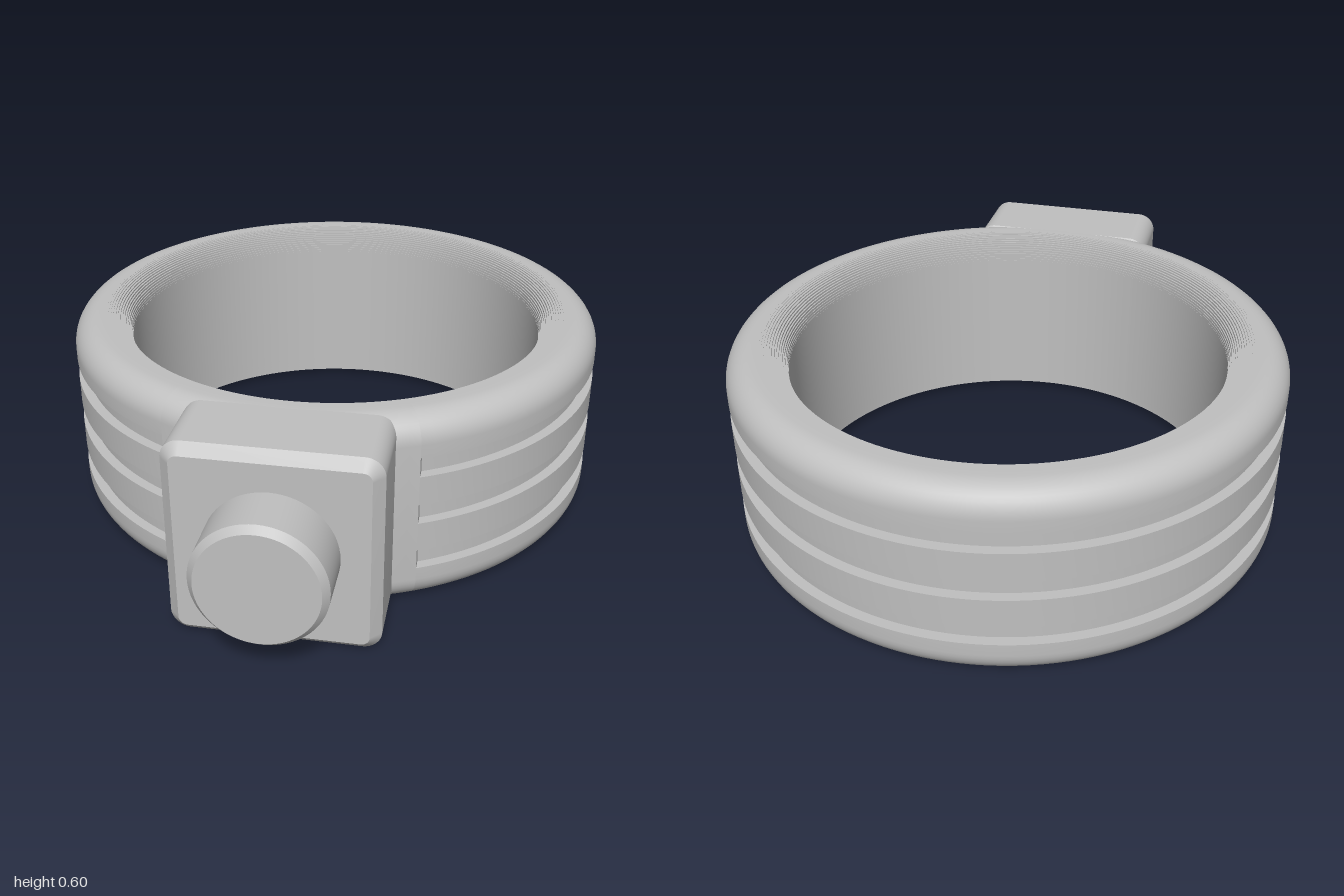
import * as THREE from 'three';
import { toCreasedNormals } from 'three/addons/utils/BufferGeometryUtils.js';

const R_OUT = 0.833, R_IN = 0.653, R_GROOVE = 0.803;
const HALF = 0.2985, FILLET = 0.08, RING_Z = -0.167;
const GROOVE_X = 0.36; // grooves stop on the planes x = +-GROOVE_X

// Smooth shading with sharp edges; scaled up so close vertices stay apart.
function crease(geo) {
  return toCreasedNormals(geo.scale(100, 100, 100), 0.5).scale(0.01, 0.01, 0.01);
}

// Closed ring cross-section: rounded outside, finely stepped rounding inside.
function ringProfile(grooved) {
  const upper = grooved
    ? [[R_GROOVE, 0.03], [R_OUT, 0.03], [R_OUT, 0.12], [R_GROOVE, 0.12], [R_GROOVE, 0.18], [R_OUT, 0.18]]
    : [];
  for (let i = 0; i <= 10; i++) {
    const t = (i / 10) * Math.PI / 2;
    upper.push([R_OUT - FILLET + FILLET * Math.cos(t), HALF - FILLET + FILLET * Math.sin(t)]);
  }
  const steps = 16;
  let y = HALF;
  for (let i = 0; i <= steps; i++) {
    const t = (i / steps) * Math.PI / 2;
    const r = R_IN + FILLET - FILLET * Math.sin(t);
    upper.push([r, y]);
    y = HALF - FILLET + FILLET * Math.cos(Math.min(t + Math.PI / 4 / steps, Math.PI / 2));
    upper.push([r, y]);
  }
  const lower = upper.map(([r, v]) => [r, -v]).reverse();
  const all = [...lower, ...upper, lower[0]];
  return all.map(([r, v]) => new THREE.Vector2(r, v));
}

// Rounded rectangle centred on the origin
function roundedRect(hw, hh, r) {
  const s = new THREE.Shape();
  s.moveTo(-hw + r, -hh);
  s.absarc(hw - r, -hh + r, r, -Math.PI / 2, 0);
  s.absarc(hw - r, hh - r, r, 0, Math.PI / 2);
  s.absarc(-hw + r, hh - r, r, Math.PI / 2, Math.PI);
  s.absarc(-hw + r, -hh + r, r, Math.PI, Math.PI * 1.5);
  return s;
}

export function createModel() {
  const model = new THREE.Group();
  model.name = 'ringWithButton';
  const grey = new THREE.MeshStandardMaterial({ color: 0xc0c0c0 });
  grey.name = 'grey';

  function add(parent, name, geo, x = 0, y = 0, z = 0) {
    const mesh = new THREE.Mesh(geo, grey);
    mesh.name = name;
    mesh.position.set(x, y, z);
    parent.add(mesh);
    return mesh;
  }

  const ring = new THREE.Group();
  ring.name = 'ring';
  ring.position.set(0, HALF, RING_Z);
  model.add(ring);

  // Grooved arc around the sides and back, plain arc behind the housing
  const a = Math.asin(GROOVE_X / R_OUT);
  const grooved = new THREE.LatheGeometry(ringProfile(true), 120, a, Math.PI * 2 - 2 * a);
  const p = grooved.attributes.position;
  const floorZ = Math.sqrt(R_GROOVE ** 2 - GROOVE_X ** 2);
  const edgeZ = Math.sqrt(R_OUT ** 2 - GROOVE_X ** 2);
  for (let i = 0; i < p.count; i++) {
    const x = p.getX(i), z = p.getZ(i);
    const onFloor = Math.abs(Math.hypot(x, z) - R_GROOVE) < 1e-4 && Math.abs(p.getY(i)) < 0.2;
    if (onFloor && z > 0 && Math.abs(x) < GROOVE_X) {
      p.setX(i, Math.sign(x) * GROOVE_X);
      p.setZ(i, floorZ);
    }
  }
  add(ring, 'groovedBand', crease(grooved));
  add(ring, 'plainBand', crease(new THREE.LatheGeometry(ringProfile(false), 24, -a, 2 * a)));

  // End walls of the three grooves
  for (const side of [-1, 1]) {
    for (const y of [-0.15, 0, 0.15]) {
      const wall = new THREE.PlaneGeometry(edgeZ - floorZ, 0.06).rotateY(side * Math.PI / 2);
      add(ring, 'grooveEnd', wall, side * GROOVE_X, y, (edgeZ + floorZ) / 2);
    }
  }

  // Chamfered housing block
  const bevel = 0.03;
  const block = new THREE.ExtrudeGeometry(roundedRect(0.295 - bevel, HALF - bevel, 0.025), {
    depth: 0.223, bevelEnabled: true, bevelThickness: bevel, bevelSize: bevel, bevelSegments: 1, curveSegments: 8,
  });
  add(model, 'housing', crease(block), 0, HALF, 0.58);

  // Round push button with a chamfered rim
  const buttonProfile = [[0.185, 0.82], [0.185, 0.98], [0.167, 1], [0, 1]]
    .map(([r, v]) => new THREE.Vector2(r, v));
  const button = crease(new THREE.LatheGeometry(buttonProfile, 64).rotateX(Math.PI / 2));
  add(model, 'button', button, 0, 0.3, 0);

  return model;
}
